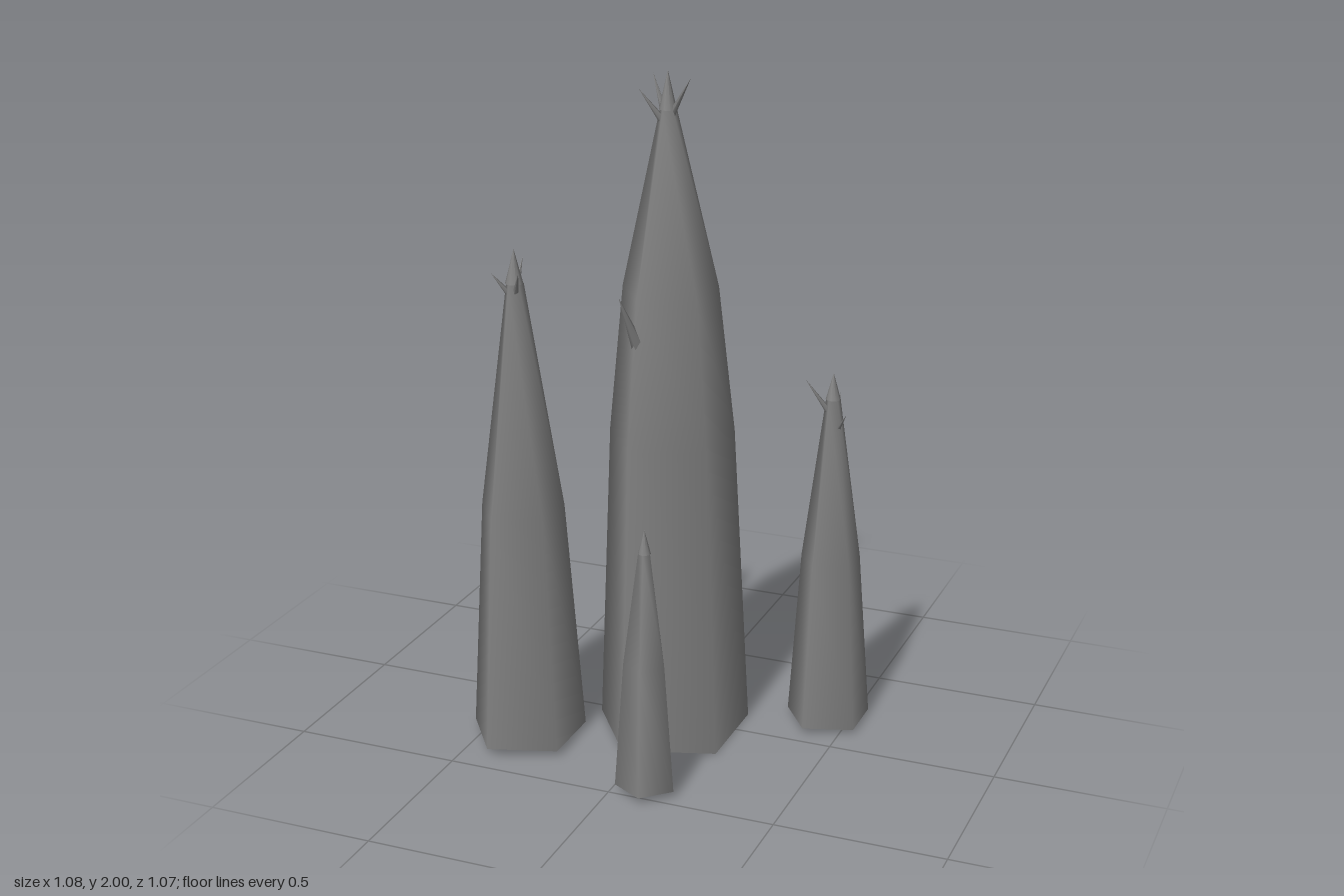
import * as THREE from 'three';

const material = new THREE.MeshStandardMaterial({ color: 0x7f7f7f, side: THREE.DoubleSide });
const UP = new THREE.Vector3(0, 1, 0);

// base: centre [x, y, z]; apex: [x, y, z]; angle: heading of one corner, from +x towards +z
// rings: [height, radius] from the ground up; thorns: [root, tip, radius]
const SPIRES = [
  {
    name: 'mainSpire', base: [0.011, 0, 0.031], apex: [0.002, 2, 0.048], angle: Math.PI,
    rings: [[0, 0.236], [0.93, 0.192], [1.37, 0.145], [1.89, 0.025]],
    thorns: [
      [[0, 1.85, 0.047], [-0.055, 1.985, 0.018], 0.014],
      [[0, 1.85, 0.047], [0.078, 1.985, 0.068], 0.014],
      [[0, 1.84, 0.047], [-0.066, 1.95, 0.093], 0.014],
      [[-0.038, 1.232, 0.172], [-0.07, 1.39, 0.235], 0.02],
    ],
  },
  {
    name: 'leftSpire', base: [-0.365, 0.02, 0.262], apex: [-0.372, 1.51, 0.272], angle: Math.PI,
    rings: [[0.02, 0.176], [0.73, 0.127], [1.41, 0.026]],
    thorns: [
      [[-0.372, 1.36, 0.27], [-0.422, 1.446, 0.317], 0.013],
      [[-0.372, 1.36, 0.27], [-0.335, 1.454, 0.322], 0.013],
      [[-0.372, 1.36, 0.27], [-0.371, 1.475, 0.216], 0.013],
    ],
  },
  {
    name: 'rightSpire', base: [0.436, 0.015, -0.175], apex: [0.431, 1.11, -0.168], angle: Math.PI,
    rings: [[0.015, 0.129], [0.53, 0.091], [1.03, 0.022]],
    thorns: [
      [[0.434, 0.97, -0.17], [0.36, 1.095, -0.125], 0.012],
      [[0.431, 0.91, -0.17], [0.483, 0.998, -0.133], 0.012],
      [[0.432, 0.93, -0.168], [0.435, 1.035, -0.228], 0.012],
    ],
  },
  {
    name: 'frontSpire', base: [0.097, 0.02, 0.447], apex: [0.096, 0.805, 0.454], angle: 0.19,
    rings: [[0.02, 0.091], [0.4, 0.063], [0.735, 0.018]], thorns: [],
  },
  {
    name: 'backSpire', base: [-0.203, 0.005, -0.44], apex: [-0.207, 0.874, -0.432], angle: Math.PI,
    rings: [[0.005, 0.102], [0.41, 0.071], [0.8, 0.019]], thorns: [],
  },
];

function addMesh(parent, name, geometry) {
  const mesh = new THREE.Mesh(geometry, material);
  mesh.name = name;
  parent.add(mesh);
  return mesh;
}

// slender spike from root to tip
function addThorn(parent, root, tip, radius) {
  const a = new THREE.Vector3(...root);
  const b = new THREE.Vector3(...tip);
  const direction = b.clone().sub(a);
  const length = direction.length();
  const thorn = addMesh(parent, 'thorn', new THREE.ConeGeometry(radius, length, 5, 1, true));
  thorn.position.copy(a).add(b).multiplyScalar(0.5);
  thorn.quaternion.setFromUnitVectors(UP, direction.normalize());
}

function createSpire({ name, base, apex, angle, rings, thorns }) {
  const group = new THREE.Group();
  group.name = name;

  // hollow five-sided tapering body, open below, leaning slightly from base to apex
  const profile = rings.map(([y, r]) => new THREE.Vector2(r, y));
  const body = new THREE.LatheGeometry(profile, 5, Math.PI / 2 - angle);
  const p = body.attributes.position;
  for (let i = 0; i < p.count; i++) {
    const t = (p.getY(i) - base[1]) / (apex[1] - base[1]);
    p.setX(i, p.getX(i) + THREE.MathUtils.lerp(base[0], apex[0], t));
    p.setZ(i, p.getZ(i) + THREE.MathUtils.lerp(base[2], apex[2], t));
  }
  addMesh(group, 'spireBody', body);

  // pointed tip
  const [tipY, tipRadius] = rings[rings.length - 1];
  const tip = addMesh(group, 'tip', new THREE.ConeGeometry(tipRadius, apex[1] - tipY, 10, 1, true));
  tip.position.set(apex[0], (apex[1] + tipY) / 2, apex[2]);

  for (const [root, end, radius] of thorns) addThorn(group, root, end, radius);
  return group;
}

export function createModel() {
  const model = new THREE.Group();
  model.name = 'spireCluster';
  for (const spire of SPIRES) model.add(createSpire(spire));
  return model;
}
